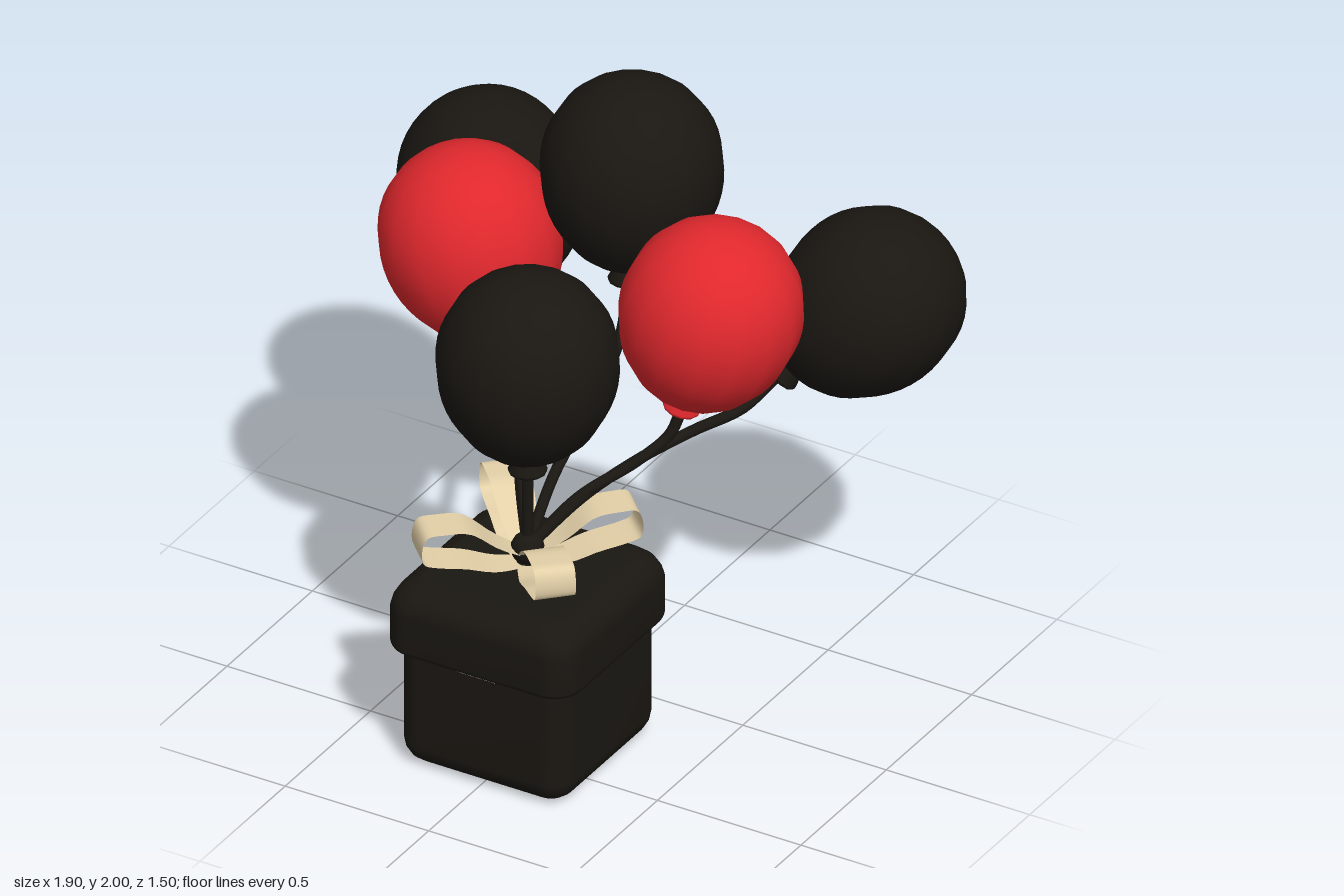
import * as THREE from 'three';

const BLACK = new THREE.MeshStandardMaterial({ color: 0x1a1712 });
const RED = new THREE.MeshStandardMaterial({ color: 0xe0282d });
const CREAM = new THREE.MeshStandardMaterial({ color: 0xe3d0a8, side: THREE.DoubleSide });
const BOX_Z = 0.42;
const TIE = new THREE.Vector3(0, 0.69, BOX_Z);

function add(parent, name, geometry, material) {
  const mesh = new THREE.Mesh(geometry, material);
  mesh.name = name;
  parent.add(mesh);
  return mesh;
}

// Rounded square outline, counter-clockwise seen from above
function outline(half, radius, y) {
  const pts = [];
  for (let c = 0; c < 4; c++) {
    for (let i = 0; i <= 6; i++) {
      const a = (c + i / 6) * Math.PI / 2;
      const sx = c === 0 || c === 3 ? 1 : -1, sz = c < 2 ? 1 : -1;
      pts.push([sx * (half - radius) + radius * Math.cos(a), y, -(sz * (half - radius) + radius * Math.sin(a))]);
    }
  }
  return pts;
}

// Skin over rounded squares given as [y, half width, corner radius], capped at both ends
function roundedStack(levels) {
  const pos = [], index = [], n = 28;
  levels.forEach(([y, h, r]) => outline(h, r, y).forEach(p => pos.push(...p)));
  for (let k = 0; k < levels.length - 1; k++) {
    for (let i = 0; i < n; i++) {
      const a = k * n + i, b = k * n + (i + 1) % n;
      index.push(a, b, b + n, a, b + n, a + n);
    }
  }
  [0, levels.length - 1].forEach(k => {
    const [y, h, r] = levels[k], centre = pos.length / 3;
    pos.push(0, y, 0);
    outline(h, r, y).forEach(p => pos.push(...p));
    for (let i = 0; i < n; i++) {
      const a = centre + 1 + i, b = centre + 1 + (i + 1) % n;
      if (k === 0) index.push(centre, b, a);
      else index.push(centre, a, b);
    }
  });
  const g = new THREE.BufferGeometry();
  g.setAttribute('position', new THREE.Float32BufferAttribute(pos, 3));
  g.setIndex(index);
  g.computeVertexNormals();
  return g;
}

// Egg-shaped balloon, its flared neck, and the string down to the tie
function addBalloon(parent, name, material, centre, axis, via) {
  const c = new THREE.Vector3(...centre), dir = new THREE.Vector3(...axis).normalize();
  const group = new THREE.Group();
  group.name = name;
  group.position.copy(c);
  group.quaternion.setFromUnitVectors(new THREE.Vector3(0, 1, 0), dir);
  parent.add(group);

  const profile = [];
  for (let i = 0; i <= 24; i++) {
    const t = -Math.PI / 2 + Math.PI * i / 24;
    const r = 0.279 * Math.cos(t) * (1 + 0.06 * Math.sin(t));
    profile.push(new THREE.Vector2(Math.max(r, 0), 0.315 * Math.sin(t)));
  }
  add(group, 'balloonSkin', new THREE.LatheGeometry(profile, 16), material);

  const neck = [[0, -0.345], [0.035, -0.35], [0.058, -0.365], [0.06, -0.355], [0.04, -0.315], [0.035, -0.29]];
  add(group, 'balloonNeck', new THREE.LatheGeometry(neck.map(p => new THREE.Vector2(...p)), 12), material);

  const path = new THREE.CatmullRomCurve3([
    TIE, ...via.map(p => new THREE.Vector3(...p)),
    c.clone().addScaledVector(dir, -0.4), c.clone().addScaledVector(dir, -0.33),
  ]);
  add(parent, name + 'String', new THREE.TubeGeometry(path, 32, 0.018, 8), BLACK);
}

// One ribbon loop reaching out along +x
function bowLoop() {
  const path = new THREE.CatmullRomCurve3([
    [0, 0.645], [0.1, 0.65], [0.2, 0.68], [0.3, 0.7], [0.335, 0.715], [0.342, 0.76],
    [0.325, 0.805], [0.27, 0.81], [0.19, 0.8], [0.1, 0.73], [0, 0.67],
  ].map(([r, y]) => new THREE.Vector3(r, y, 0)));
  const g = new THREE.PlaneGeometry(1, 1, 2, 36);
  const p = g.attributes.position;
  for (let i = 0; i < p.count; i++) {
    const q = path.getPoint(p.getY(i) + 0.5);
    const width = 0.07 + 0.055 * Math.min(1, q.x / 0.15);
    p.setXYZ(i, q.x, q.y, p.getX(i) * width);
  }
  g.computeVertexNormals();
  return g;
}

export function createModel() {
  const model = new THREE.Group();
  model.name = 'giftBoxWithBalloons';

  // Gift box
  const box = new THREE.Group();
  box.name = 'giftBox';
  box.position.z = BOX_Z;
  model.add(box);
  add(box, 'boxBody', roundedStack([
    [0, 0.23, 0.04], [0.008, 0.252, 0.05], [0.025, 0.273, 0.065], [0.05, 0.287, 0.075],
    [0.075, 0.292, 0.08], [0.43, 0.292, 0.08],
  ]), BLACK);
  add(box, 'boxLid', roundedStack([
    [0.398, 0.3, 0.075], [0.4, 0.312, 0.085], [0.407, 0.321, 0.09], [0.42, 0.325, 0.09],
    [0.54, 0.325, 0.09], [0.567, 0.319, 0.09], [0.595, 0.303, 0.08], [0.615, 0.28, 0.07], [0.624, 0.25, 0.06],
  ]), BLACK);

  // Ribbon ends showing under the lid
  for (let i = 0; i < 4; i++) {
    const a = i * Math.PI / 2;
    const tab = add(box, 'ribbonEnd', new THREE.BoxGeometry(0.13, 0.02, 0.012), CREAM);
    tab.position.set(0.296 * Math.sin(a), 0.402, 0.296 * Math.cos(a));
    tab.rotation.y = a;
  }

  // Bow of four diagonal loops
  const bow = new THREE.Group();
  bow.name = 'bow';
  box.add(bow);
  const loop = bowLoop();
  for (let i = 0; i < 4; i++) {
    add(bow, 'bowLoop', loop, CREAM).rotation.y = Math.PI / 4 + i * Math.PI / 2;
  }
  const knot = add(box, 'stringKnot', new THREE.SphereGeometry(0.052, 14, 10), BLACK);
  knot.position.y = 0.69;
  add(box, 'knotStem', new THREE.CylinderGeometry(0.03, 0.04, 0.07, 12), BLACK).position.y = 0.645;

  // Balloons
  addBalloon(model, 'frontBalloon', BLACK, [0, 1.325, BOX_Z], [0, 1, 0], [[0, 0.8, BOX_Z]]);
  addBalloon(model, 'topBalloon', BLACK, [0, 1.686, -0.19], [0, 1, -0.07],
    [[0, 0.86, 0.27], [0, 1.0, 0.04], [0, 1.14, -0.12]]);
  for (const [side, s] of [['left', 1], ['right', -1]]) {
    addBalloon(model, side + 'RedBalloon', RED, [s * 0.415, 1.44, 0.05], [s * 0.28, 1, 0],
      [[s * 0.1, 0.83, 0.29], [s * 0.22, 0.92, 0.15], [s * 0.285, 0.99, 0.07]]);
    addBalloon(model, side + 'OuterBalloon', BLACK, [s * 0.65, 1.28, -0.47], [s * 0.63, 0.71, -0.31],
      [[s * 0.11, 0.83, 0.28], [s * 0.2, 0.9, 0.12], [s * 0.28, 0.925, -0.08], [s * 0.355, 0.94, -0.25]]);
  }
  return model;
}
